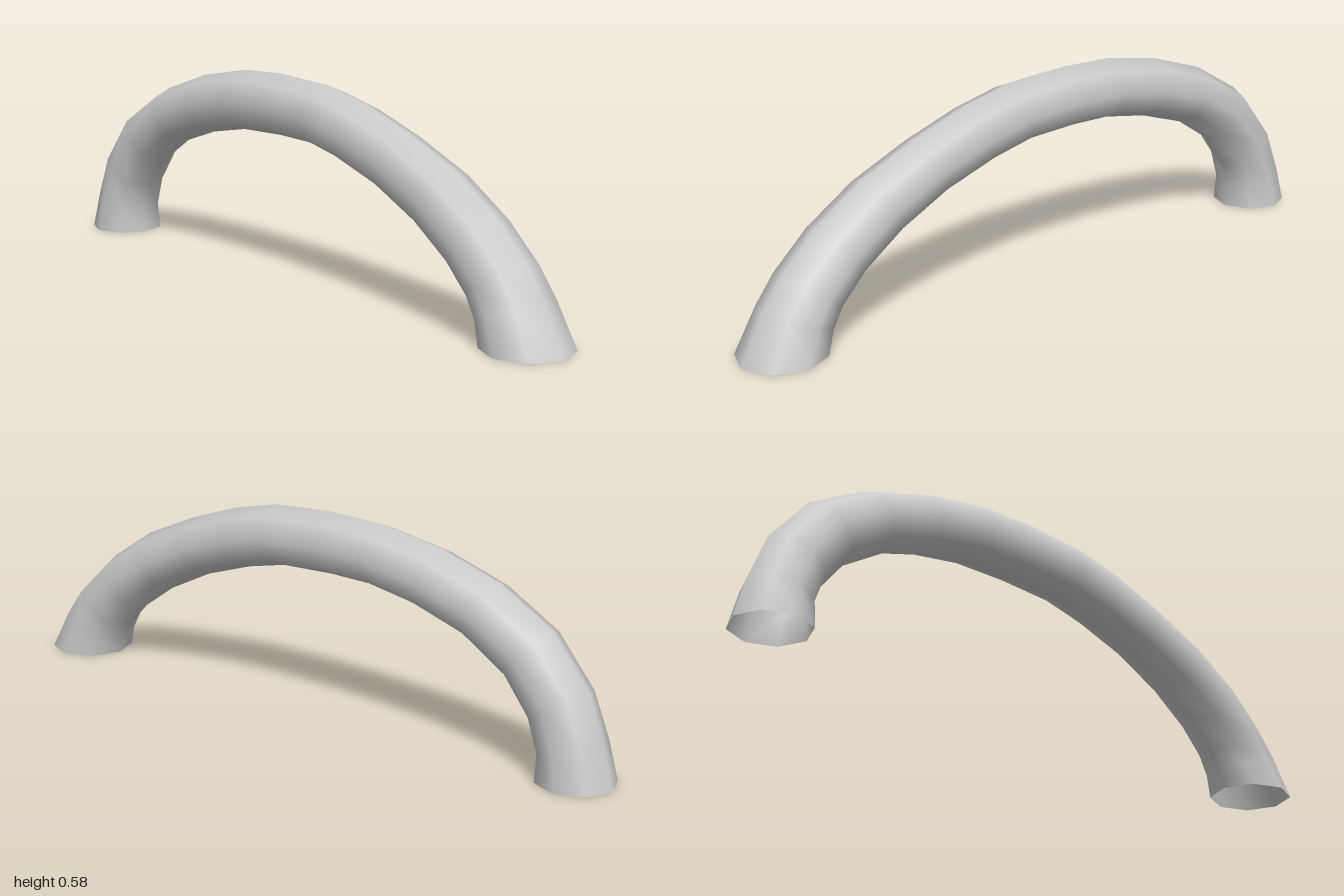
import * as THREE from 'three';

// Cross-sections along the arch: outer x, outer y, inner x, inner y, half width in z
const SECTIONS = [
  [-1, 0, -0.785, 0, 0.108],
  [-0.97, 0.11, -0.79, 0.07, 0.097],
  [-0.92, 0.24, -0.76, 0.15, 0.091],
  [-0.805, 0.38, -0.69, 0.24, 0.088],
  [-0.64, 0.475, -0.565, 0.32, 0.088],
  [-0.455, 0.535, -0.41, 0.37, 0.088],
  [-0.26, 0.57, -0.26, 0.397, 0.088],
  [-0.09, 0.577, -0.09, 0.402, 0.088],
  [0.11, 0.567, 0.08, 0.397, 0.088],
  [0.26, 0.535, 0.21, 0.37, 0.088],
  [0.43, 0.48, 0.37, 0.32, 0.088],
  [0.61, 0.405, 0.52, 0.25, 0.092],
  [0.76, 0.31, 0.64, 0.17, 0.096],
  [0.87, 0.21, 0.71, 0.1, 0.099],
  [0.93, 0.13, 0.74, 0.05, 0.105],
  [1, 0, 0.757, 0, 0.121],
];
const SIDES = 8;

// Skin eight-sided rings into one smooth open tube
function loft(sections) {
  const positions = [];
  const indices = [];
  sections.forEach(([ox, oy, ix, iy, w], i) => {
    for (let j = 0; j < SIDES; j++) {
      const a = (j / SIDES) * Math.PI * 2;
      const t = (1 + Math.cos(a)) / 2;
      positions.push(ix + (ox - ix) * t, iy + (oy - iy) * t, w * Math.sin(a));
      if (i === sections.length - 1) continue;
      const k = (j + 1) % SIDES;
      const p = i * SIDES;
      const q = p + SIDES;
      indices.push(p + j, p + k, q + j, p + k, q + k, q + j);
    }
  });
  const geometry = new THREE.BufferGeometry();
  geometry.setAttribute('position', new THREE.Float32BufferAttribute(positions, 3));
  geometry.setIndex(indices);
  geometry.computeVertexNormals();
  return geometry;
}

export function createModel() {
  const group = new THREE.Group();
  group.name = 'handle';
  // Hollow arch with flared, open feet
  const material = new THREE.MeshStandardMaterial({ color: 0xcccccc, side: THREE.DoubleSide });
  const arch = new THREE.Mesh(loft(SECTIONS), material);
  arch.name = 'archTube';
  group.add(arch);
  return group;
}
